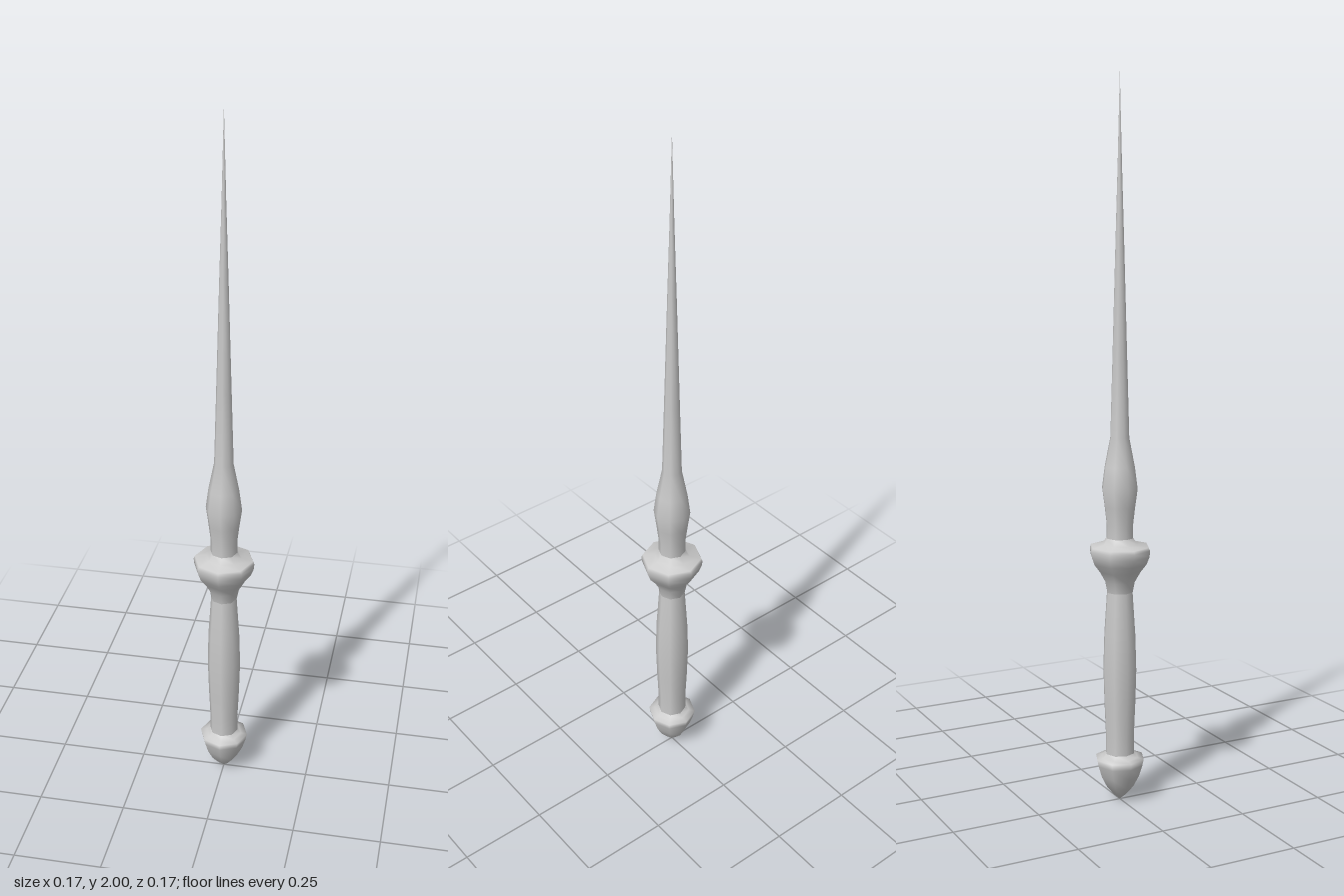
import * as THREE from 'three';

const material = new THREE.MeshStandardMaterial({ color: 0xcccccc });

// Eight-sided turned part from [radius, height] pairs, bottom to top
function turned(name, profile) {
  const points = profile.map(([r, y]) => new THREE.Vector2(r, y));
  const mesh = new THREE.Mesh(new THREE.LatheGeometry(points, 8), material);
  mesh.name = name;
  return mesh;
}

export function createModel() {
  const group = new THREE.Group();
  group.name = 'dagger';
  group.add(
    // Acorn-shaped end with a flat shoulder
    turned('pommel', [
      [0, 0], [0.018, 0.016], [0.04, 0.042], [0.056, 0.073],
      [0.066, 0.105], [0.07, 0.124], [0.052, 0.127], [0.041, 0.138],
    ]),
    // Slightly swollen handle
    turned('grip', [
      [0.041, 0.138], [0.041, 0.19], [0.045, 0.28], [0.048, 0.38],
      [0.045, 0.48], [0.039, 0.57], [0.037, 0.6],
    ]),
    // Flared collar
    turned('guard', [
      [0.037, 0.6], [0.043, 0.63], [0.06, 0.66], [0.077, 0.682],
      [0.085, 0.703], [0.087, 0.72], [0.083, 0.729], [0.05, 0.735], [0.038, 0.752],
    ]),
    // Bulbous root tapering to a needle point
    turned('blade', [
      [0.038, 0.752], [0.038, 0.79], [0.044, 0.84], [0.051, 0.89],
      [0.043, 0.95], [0.027, 1.03], [0.021, 1.24], [0.012, 1.56],
      [0.006, 1.76], [0, 2],
    ]),
  );
  return group;
}
